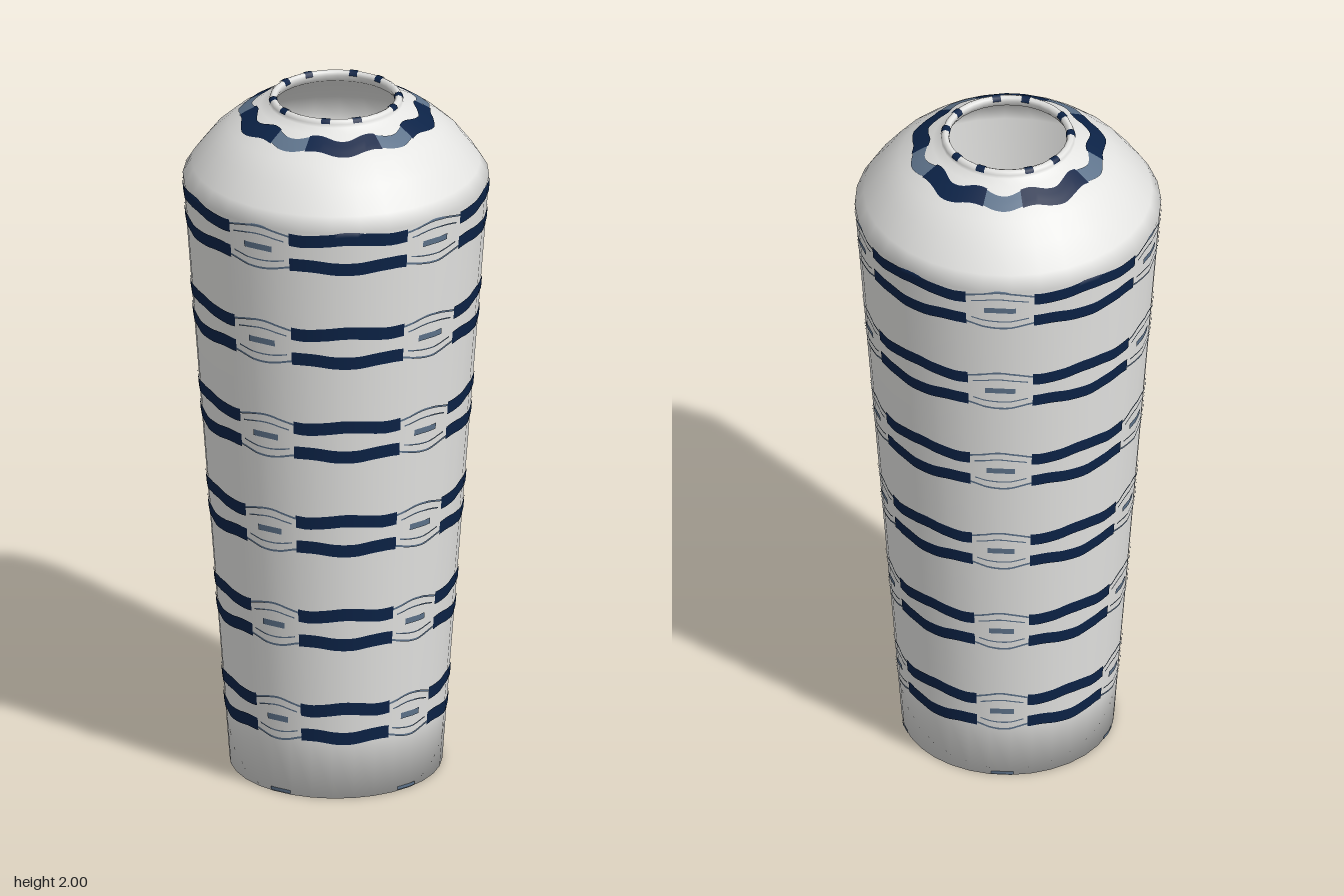
import * as THREE from 'three';

const SIDES = 32, DEG = Math.PI / 180;

// Outer wall, from foot to neck: [radius, height]
const WALL = [
  [0.295, 0], [0.308, 0.18], [0.425, 1.76], [0.4, 1.8], [0.35, 1.865], [0.3, 1.91],
  [0.25, 1.942], [0.21, 1.965], [0.187, 1.977],
];
const RIM = [[0.185, 1.986], [0.182, 1.994], [0.174, 1.998], [0.166, 1.994], [0.163, 1.984]];
const INSIDE = [[0.172, 1.965], [0.23, 1.93], [0.33, 1.85], [0.4, 1.75], [0.285, 0.12], [0.25, 0.04], [0, 0.04]];

const points = (list) => list.map(([r, y]) => new THREE.Vector2(r, y));

// Radius and slope of the outer wall at a height
function wallAt(y) {
  let i = 0;
  while (i < WALL.length - 2 && y > WALL[i + 1][1]) i++;
  const [r0, y0] = WALL[i], [r1, y1] = WALL[i + 1];
  const slope = (r1 - r0) / (y1 - y0);
  return { r: r0 + slope * (y - y0), slope };
}

// Thin painted strip on the wall; edges(angle) gives its low and high edge
function strip(name, from, to, edges, material) {
  const pos = [], nor = [], index = [], rows = 3;
  const cols = Math.max(2, Math.ceil((to - from) / 2.25));
  const step = (2 * Math.PI) / SIDES;
  for (let i = 0; i <= cols; i++) {
    const deg = from + ((to - from) * i) / cols, a = deg * DEG;
    const [low, high] = edges(deg);
    // follow the flat sides of the body
    const off = a - (Math.floor(a / step) + 0.5) * step;
    const flat = Math.cos(step / 2) / Math.cos(off);
    for (let j = 0; j <= rows; j++) {
      const y = low + ((high - low) * j) / rows;
      const { r, slope } = wallAt(y);
      const n = new THREE.Vector3(Math.sin(a), -slope, Math.cos(a)).normalize();
      pos.push(r * flat * Math.sin(a) + n.x * 0.003, y + n.y * 0.003, r * flat * Math.cos(a) + n.z * 0.003);
      nor.push(n.x, n.y, n.z);
      if (i < cols && j < rows) {
        const p = i * (rows + 1) + j, q = p + rows + 1;
        index.push(p, q, q + 1, p, q + 1, p + 1);
      }
    }
  }
  const geometry = new THREE.BufferGeometry();
  geometry.setAttribute('position', new THREE.Float32BufferAttribute(pos, 3));
  geometry.setAttribute('normal', new THREE.Float32BufferAttribute(nor, 3));
  geometry.setIndex(index);
  const mesh = new THREE.Mesh(geometry, material);
  mesh.name = name;
  return mesh;
}

export function createModel() {
  const glaze = new THREE.MeshStandardMaterial({ color: 0xe4e4e2 });
  glaze.name = 'white glaze';
  const navy = new THREE.MeshStandardMaterial({ color: 0x0c2347 });
  navy.name = 'navy paint';
  const slate = new THREE.MeshStandardMaterial({ color: 0x5f748c });
  slate.name = 'slate paint';

  const model = new THREE.Group();
  model.name = 'vase';

  // Hollow body: base, wall, rim and inside in one turned profile
  const profile = points([[0, 0], ...WALL, ...RIM, ...INSIDE]);
  const body = new THREE.Mesh(new THREE.LatheGeometry(profile, SIDES), glaze);
  body.name = 'body';
  model.add(body);

  const wave = (deg) => Math.cos(10 * (deg - 18) * DEG);

  // Six bands: paired wavy stripes joined by open lozenges, five times around
  for (let row = 0; row < 6; row++) {
    const band = new THREE.Group();
    band.name = 'band' + (row + 1);
    const mid = 0.233 + row * 0.2924;
    for (let k = 0; k < 5; k++) {
      const dark = 18 + 72 * k, light = 54 + 72 * k;
      for (const side of [1, -1]) {
        const line = (offset, half, swing) => (deg) => {
          const c = mid + side * (offset + swing * wave(deg));
          return [c - half, c + half];
        };
        band.add(strip('waveStripe', dark - 23, dark + 23, line(0.042, 0.019, 0.005), navy));
        band.add(strip('lozengeEdge', light - 13, light + 13, line(0.054, 0.003, 0.01), slate));
        band.add(strip('lozengeInnerEdge', light - 11, light + 11, line(0.032, 0.002, 0.008), slate));
      }
      band.add(strip('lozengeDash', light - 6, light + 6, () => [mid - 0.009, mid + 0.009], slate));
    }
    model.add(band);
  }

  // Wavy collar on the shoulder
  const collar = new THREE.Group();
  collar.name = 'collar';
  const collarEdges = (half) => (deg) => {
    const c = 1.943 - 0.005 * wave(deg);
    return [c - half, c + half];
  };
  for (let k = 0; k < 5; k++) {
    const dark = 18 + 72 * k;
    collar.add(strip('collarStripe', dark - 24, dark + 24, collarEdges(0.014), navy));
    collar.add(strip('collarLink', dark + 24, dark + 48, collarEdges(0.012), slate));
  }
  model.add(collar);

  // Small marks on the rim and foot
  const markProfile = points(RIM.map(([r, y]) => [r + (r - 0.174) * 0.15, y + 0.002]));
  for (let k = 0; k < 5; k++) {
    for (const side of [-1, 1]) {
      const a = (18 + 72 * k + side * 14 - 4) * DEG;
      const mark = new THREE.Mesh(new THREE.LatheGeometry(markProfile, 3, a, 8 * DEG), navy);
      mark.name = 'rimMark';
      model.add(mark);
    }
    const light = 54 + 72 * k;
    model.add(strip('footMark', light - 6, light + 6, () => [0.004, 0.014], slate));
  }

  return model;
}
